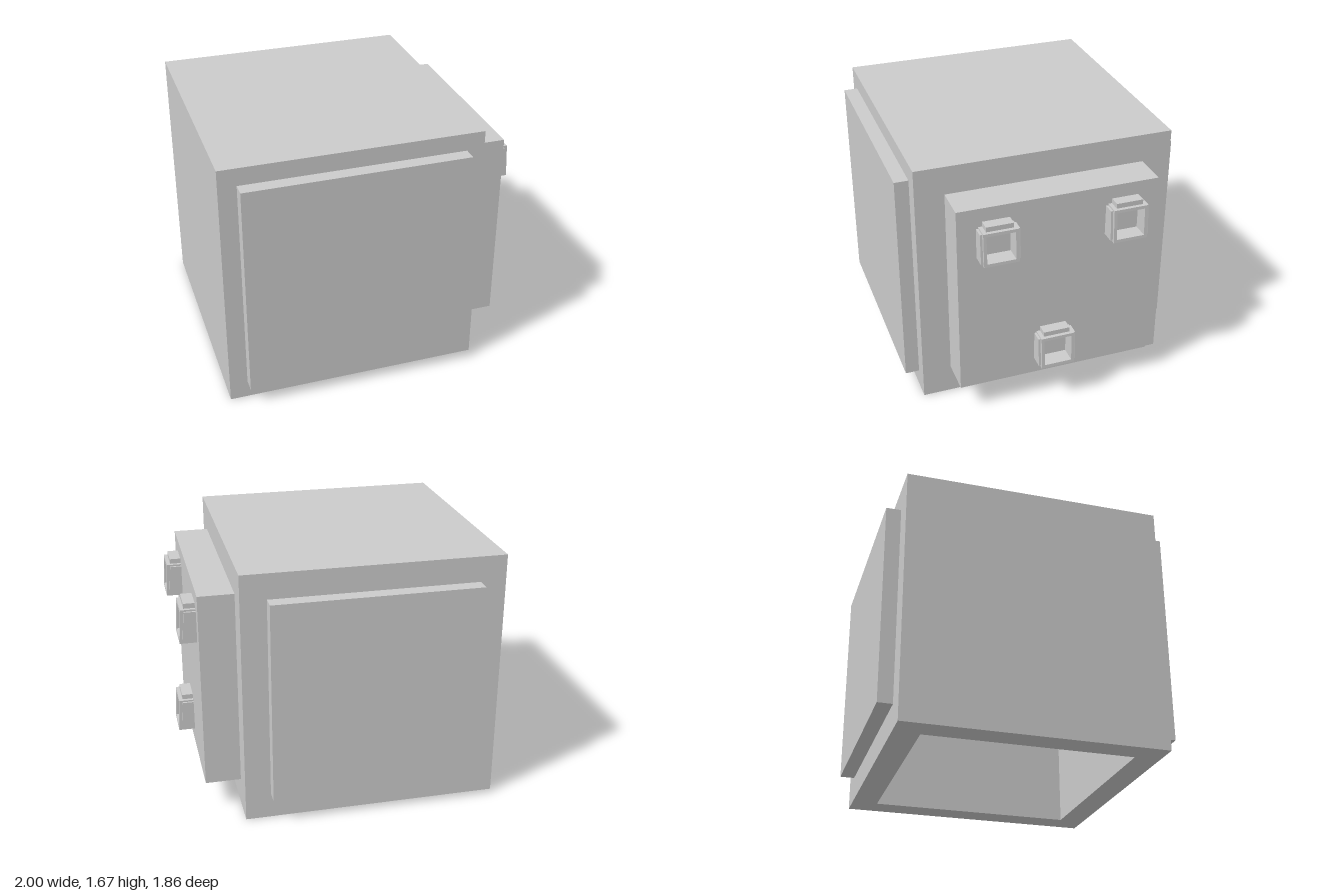
import * as THREE from 'three';

const material = new THREE.MeshStandardMaterial({ color: 0xcccccc, flatShading: true });

function add(parent, name, geometry) {
  const mesh = new THREE.Mesh(geometry, material);
  mesh.name = name;
  parent.add(mesh);
  return mesh;
}

// Box given by its min and max on each axis
function block(parent, name, [x0, x1], [y0, y1], [z0, z1]) {
  const geometry = new THREE.BoxGeometry(x1 - x0, y1 - y0, z1 - z0);
  geometry.translate((x0 + x1) / 2, (y0 + y1) / 2, (z0 + z1) / 2);
  return add(parent, name, geometry);
}

// Lean the outer (+x) face so that it sticks out further at the bottom
function leanFront(geometry, amount, halfHeight) {
  const p = geometry.attributes.position;
  for (let i = 0; i < p.count; i++) {
    if (p.getX(i) > 0.04) p.setX(i, p.getX(i) - amount * (p.getY(i) / halfHeight + 1) / 2);
  }
  geometry.computeVertexNormals();
}

function square(target, h) {
  target.moveTo(-h, -h);
  target.lineTo(h, -h);
  target.lineTo(h, h);
  target.lineTo(-h, h);
  target.closePath();
  return target;
}

// Hollow square socket with a raised strip on its top and both sides
function createSocket() {
  const socket = new THREE.Group();
  socket.name = 'socket';

  const shape = square(new THREE.Shape(), 0.111);
  shape.holes.push(square(new THREE.Path(), 0.091));
  const frame = new THREE.ExtrudeGeometry(shape, { depth: 0.107, bevelEnabled: false });
  frame.rotateY(Math.PI / 2);
  leanFront(frame, 0.012, 0.111);
  add(socket, 'socketFrame', frame);

  block(socket, 'topStrip', [0, 0.072], [0.111, 0.143], [-0.087, 0.087]);
  for (const s of [-1, 1]) {
    const strip = block(socket, 'sideStrip', [0, 0.09], [-0.1, 0.1],
      s > 0 ? [0.111, 0.125] : [-0.125, -0.111]);
    leanFront(strip.geometry, 0.016, 0.1);
  }
  return socket;
}

export function createModel() {
  const model = new THREE.Group();
  model.name = 'cubeBlock';

  // Main cube, one shell with a square recess in the underside
  const k = Math.SQRT2;
  const profile = [[0, 0.574], [0.668, 0.574], [0.668, 0], [0.835, 0], [0.835, 1.67], [0, 1.67]]
    .map(([r, y]) => new THREE.Vector2(r * k, y));
  const body = new THREE.LatheGeometry(profile, 4, Math.PI / 4).toNonIndexed();
  body.scale(0.832 / 0.835, 1, 1);
  body.translate(-0.168, 0, 0);
  body.computeVertexNormals();
  add(model, 'body', body);

  // Raised panels on three faces
  block(model, 'frontPanel', [-0.885, 0.55], [0.12, 1.555], [0.835, 0.925]);
  block(model, 'backPanel', [-0.835, 0.5], [0.17, 1.505], [-0.93, -0.835]);
  block(model, 'sidePlate', [0.664, 0.893], [0.19, 1.485], [-0.648, 0.648]);

  // Three sockets on the side plate
  for (const [y, z] of [[1.252, 0.402], [1.252, -0.43], [0.403, 0.026]]) {
    const socket = createSocket();
    socket.position.set(0.893, y, z);
    model.add(socket);
  }
  return model;
}
